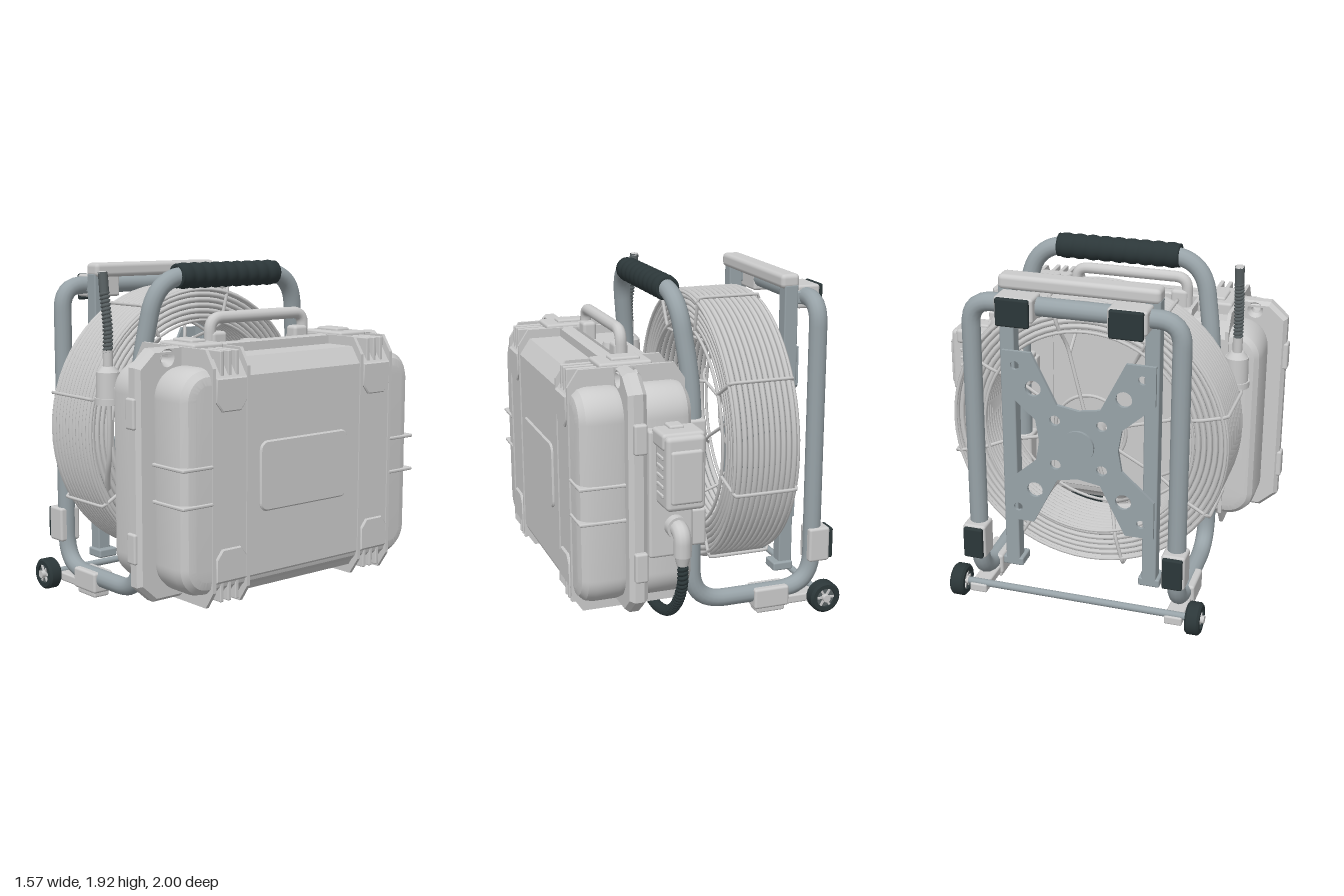
import * as THREE from 'three';
import { toCreasedNormals } from 'three/addons/utils/BufferGeometryUtils.js';
import { RoundedBoxGeometry } from 'three/addons/geometries/RoundedBoxGeometry.js';

const GREY = 0xcccccc, STEEL = 0x98a3a8, RUBBER = 0x2c3739, SPRING = 0x5a6264;
const CZ = 0.077; // shared centre of frame, reel and case in z
const mats = {};
const mat = (c) => (mats[c] ??= new THREE.MeshStandardMaterial({ color: c, side: THREE.DoubleSide }));
const V = (p) => new THREE.Vector3(p[0], p[1], p[2]);

export function createModel() {
  const root = new THREE.Group();
  let target = root;
  const group = (name) => { target = new THREE.Group(); target.name = name; root.add(target); };
  const add = (name, geo, color = GREY) => {
    const m = new THREE.Mesh(geo, mat(color));
    m.name = name;
    target.add(m);
    return m;
  };
  const box = (name, [x0, x1], [y0, y1], [z0, z1], r = 0.01, color = GREY) => {
    const m = add(name, new RoundedBoxGeometry(x1 - x0, y1 - y0, z1 - z0, 2, r), color);
    m.position.set((x0 + x1) / 2, (y0 + y1) / 2, (z0 + z1) / 2);
    return m;
  };
  const cyl = (name, r0, r1, h, pos, axis = 'y', color = GREY, sides = 24) => {
    const g = new THREE.CylinderGeometry(r1, r0, h, sides);
    if (axis === 'x') g.rotateZ(-Math.PI / 2);
    if (axis === 'z') g.rotateX(Math.PI / 2);
    const m = add(name, g, color);
    m.position.set(...pos);
    return m;
  };
  // straight runs with rounded corners; points are [x, y, z, cornerRadius]
  const bentTube = (name, pts, rad, color, segs, closed = false, sides = 12) => {
    const path = new THREE.CurvePath(), n = pts.length;
    let last = closed ? null : V(pts[0]), first;
    for (let i = closed ? 0 : 1; i < (closed ? n : n - 1); i++) {
      const p = V(pts[i]), r = pts[i][3];
      const toward = (q) => p.clone().add(V(q).sub(p).setLength(r));
      const a = toward(pts[(i + n - 1) % n]), b = toward(pts[(i + 1) % n]);
      if (last) path.add(new THREE.LineCurve3(last, a)); else first = a;
      path.add(new THREE.QuadraticBezierCurve3(a, p, b));
      last = b;
    }
    path.add(new THREE.LineCurve3(last, closed ? first : V(pts[n - 1])));
    path.arcLengthDivisions = 600;
    return add(name, new THREE.TubeGeometry(path, segs, rad, sides, closed), color);
  };
  const softTube = (name, pts, rad, color = GREY) =>
    add(name, new THREE.TubeGeometry(new THREE.CatmullRomCurve3(pts.map(V)), 40, rad, 10), color);
  // wire wound round a planar curve
  const coil = (name, pts, normal, turns, R, r, color) => {
    const base = new THREE.CatmullRomCurve3(pts.map(V)), n = V(normal), out = [], steps = turns * 10;
    for (let i = 0; i <= steps; i++) {
      const a = (i / 10) * Math.PI * 2, b = base.getTangentAt(i / steps).cross(n);
      out.push(base.getPointAt(i / steps).addScaledVector(n, R * Math.cos(a)).addScaledVector(b, R * Math.sin(a)));
    }
    add(name, new THREE.TubeGeometry(new THREE.CatmullRomCurve3(out), steps, r, 5), color);
    add(name + 'Core', new THREE.TubeGeometry(base, 50, R, 8), color);
  };
  const poly = (pts) => new THREE.Shape(pts.map(([a, b]) => new THREE.Vector2(a, b)));
  const roundRect = (z0, z1, y0, y1, r) => {
    const s = new THREE.Shape(), a = -z1, b = -z0;
    s.moveTo(a + r, y0).lineTo(b - r, y0).absarc(b - r, y0 + r, r, -Math.PI / 2, 0)
      .lineTo(b, y1 - r).absarc(b - r, y1 - r, r, 0, Math.PI / 2)
      .lineTo(a + r, y1).absarc(a + r, y1 - r, r, Math.PI / 2, Math.PI)
      .lineTo(a, y0 + r).absarc(a + r, y0 + r, r, Math.PI, Math.PI * 1.5);
    return s;
  };
  // shape drawn in (-z, y), extruded from x0 to x1; the bevel stays inside that span
  const alongX = (name, shape, x0, x1, bevel = 0, size = bevel, color = GREY, segs = 1) => {
    const g = new THREE.ExtrudeGeometry(shape, { depth: x1 - x0 - 2 * bevel, bevelEnabled: bevel > 0,
      bevelThickness: bevel, bevelSize: size, bevelOffset: -size, bevelSegments: segs, curveSegments: 8 });
    g.translate(0, 0, x0 + bevel).rotateY(Math.PI / 2);
    return add(name, toCreasedNormals(g, 0.5), color);
  };
  const SIDES = [0.64, -0.49];

  // tubular frame: one closed loop
  group('frame');
  const half = (z, zTop) => [[0.13, 1.86, zTop, 0.2], [0.07, 1.35, z, 0.2], [0.07, 0.13, z, 0.2],
    [-0.66, 0.13, z, 0.2], [-0.66, 1.78, z, 0.13]];
  bentTube('frameTube', [...half(0.64, 0.56), ...half(-0.49, -0.41).reverse()], 0.05, STEEL, 320, true, 14);
  const grip = [[0.05, -0.35], [0.066, -0.35]];
  for (let i = 0; i <= 54; i++) grip.push([0.064 + 0.007 * Math.abs(Math.sin(i * Math.PI / 6)), -0.34 + i * 0.68 / 54]);
  grip.push([0.066, 0.35], [0.05, 0.35]);
  const gripMesh = add('handGrip', new THREE.LatheGeometry(grip.map(([r, y]) => new THREE.Vector2(r, y)), 24), RUBBER);
  gripMesh.rotation.x = Math.PI / 2;
  gripMesh.position.set(0.13, 1.86, CZ);

  // clamps, feet and pads on the tubes
  for (const z of SIDES) {
    const zs = [z - 0.065, z + 0.065];
    box('legClamp', [-0.745, -0.62], [0.29, 0.49], zs, 0.015);
    box('legPad', [-0.77, -0.74], [0.3, 0.48], [z - 0.055, z + 0.055], 0.01, RUBBER);
    box('footClamp', [-0.5, -0.29], [0.05, 0.17], zs, 0.015);
    box('footPad', [-0.48, -0.31], [0.02, 0.06], [z - 0.05, z + 0.05], 0.01);
    box('wheelStrut', [-0.72, -0.45], [0.05, 0.1], [z - 0.05, z + 0.05], 0.01);
    for (const [y0, y1] of [[1.02, 1.2], [0.49, 0.7]]) {
      box('caseClamp', [0.01, 0.14], [y0, y1], zs, 0.015);
      box('caseBracket', [0.1, 0.18], [y0 + 0.03, y1 - 0.03], [z - 0.08, z + 0.08], 0.01);
    }
  }
  for (const z of [-0.225, 0.375]) {
    box('topClamp', [-0.745, -0.61], [1.71, 1.84], [z - 0.105, z + 0.105], 0.015);
    box('topPad', [-0.77, -0.74], [1.69, 1.84], [z - 0.09, z + 0.09], 0.01, RUBBER);
  }

  // wheels and axle
  group('wheels');
  cyl('axle', 0.02, 0.02, 1.36, [-0.69, 0.1, CZ], 'z', STEEL, 12);
  for (const [z, s] of [[0.755, 1], [-0.6, -1]]) {
    const tyre = [[0.055, -0.04], [0.078, -0.04], [0.09, -0.028], [0.09, 0.028], [0.078, 0.04], [0.055, 0.04], [0.055, -0.04]];
    const m = add('tyre', toCreasedNormals(new THREE.LatheGeometry(tyre.map((p) => new THREE.Vector2(...p)), 32), 0.6), RUBBER);
    m.rotation.x = Math.PI / 2;
    m.position.set(-0.69, 0.1, z);
    cyl('wheelDisc', 0.056, 0.056, 0.05, [-0.69, 0.1, z], 'z', SPRING);
    cyl('wheelHub', 0.022, 0.022, 0.1, [-0.69, 0.1, z + s * 0.005], 'z', GREY, 16);
    for (let i = 0; i < 6; i++) {
      const a = i * Math.PI / 3;
      const spoke = add('wheelSpoke', new THREE.BoxGeometry(0.045, 0.012, 0.065), GREY);
      spoke.position.set(-0.69 + 0.032 * Math.cos(a), 0.1 + 0.032 * Math.sin(a), z);
      spoke.rotation.z = a;
    }
  }

  // cable reel: wound turns inside a wire basket
  group('reel');
  const ring = (name, x, R, r, color = GREY) => {
    const m = add(name, new THREE.TorusGeometry(R, r, 6, 64), color);
    m.rotation.y = Math.PI / 2;
    m.position.set(x, 1, CZ);
  };
  for (let i = 0; i < 11; i++) for (let j = 0; j < 6; j++)
    if (i === 0 || i === 10 || j === 0 || j === 5) ring('cableTurn', -0.443 + i * 0.032, 0.612 + j * 0.0312, 0.0155);
  const core = [[0.612, -0.16], [0.765, -0.16], [0.765, 0.16], [0.612, 0.16], [0.612, -0.16]];
  const fill = add('cableCore', toCreasedNormals(new THREE.LatheGeometry(core.map((p) => new THREE.Vector2(...p)), 64), 0.5), SPRING);
  fill.rotation.z = -Math.PI / 2;
  fill.position.set(-0.283, 1, CZ);
  for (const x of [-0.467, -0.1]) { ring('rimWire', x, 0.765, 0.01); ring('innerWire', x, 0.59, 0.009); }
  ring('hubWire', -0.4, 0.2, 0.01);
  for (let i = 0; i < 8; i++) {
    const a = (15 + i * 45) * Math.PI / 180;
    const at = (x, R, r) => [x, 1 + R * Math.sin(a), CZ + R * Math.cos(a), r];
    bentTube('basketWire', [at(-0.42, 0.08), at(-0.4, 0.5, 0.06), at(-0.467, 0.62, 0.05), at(-0.467, 0.797, 0.02),
      at(-0.1, 0.797, 0.02), at(-0.1, 0.575, 0.02), at(-0.4, 0.45)], 0.01, GREY, 60, false, 6);
  }
  cyl('reelHub', 0.1, 0.1, 0.07, [-0.425, 1, CZ], 'x');
  cyl('reelAxle', 0.047, 0.047, 0.16, [-0.52, 1, CZ], 'x', STEEL);

  // rear mount: uprights, carrying bar and star-shaped plate
  group('reelMount');
  box('carryBar', [-0.61, -0.5], [1.83, 1.91], [-0.36, 0.51], 0.025);
  for (const z of [-0.32, 0.47]) {
    box('upright', [-0.6, -0.52], [0.2, 1.85], [z - 0.04, z + 0.04], 0.008, STEEL);
    box('uprightTie', [-0.66, -0.56], [1.74, 1.81], [z - 0.03, z + 0.03], 0.01, STEEL);
    box('uprightFoot', [-0.6, -0.48], [0.19, 0.24], [z - 0.06, z + 0.06], 0.01, STEEL);
  }
  const q = [[0, 0.2], [0.12, 0.22], [0.26, 0.5], [0.42, 0.5], [0.42, 0.28], [0.24, 0.12], [0.22, 0]];
  const right = [...q, ...q.slice(0, -1).reverse().map(([a, b]) => [a, -b])];
  const star = poly([...right, ...right.slice(1, -1).reverse().map(([a, b]) => [-a, b])]);
  for (const sx of [-1, 1]) for (const sy of [-1, 1])
    for (const [a, b, r] of [[0.35, 0.42, 0.025], [0.25, 0.3, 0.045], [0.13, 0.13, 0.03]])
      star.holes.push(new THREE.Path().absarc(sx * a, sy * b, r, 0, Math.PI * 2, true));
  alongX('starPlate', star, -0.618, -0.598, 0, 0, STEEL).position.set(0, 1, CZ);
  cyl('plateBoss', 0.09, 0.09, 0.05, [-0.61, 1, CZ], 'x', STEEL);

  // hard case: two bevelled shells around a flange
  group('case');
  alongX('caseBase', roundRect(-0.745, 0.89, 0.28, 1.44, 0.16), 0.15, 0.46, 0.07, 0.07, GREY, 3);
  alongX('caseLid', roundRect(-0.745, 0.89, 0.28, 1.44, 0.16), 0.48, 0.77, 0.08, 0.08, GREY, 3);
  const [fl, fr] = [-0.985, 0.815];
  const flange = poly([[fl + 0.1, 0.23], [fr - 0.1, 0.23], [fr, 0.32], [fr, 1.44], [fr - 0.1, 1.53],
    [fl + 0.1, 1.53], [fl, 1.44], [fl, 0.32]]);
  for (const u of [-0.8, 0.63]) flange.holes.push(new THREE.Path().absarc(u, 1.48, 0.026, 0, Math.PI * 2, true));
  alongX('flange', flange, 0.43, 0.53, 0.025, 0.02);
  // chamfered cross-section, swept in z
  const slab = (name, z0, z1, o) => {
    const x0 = 0.15 - o * 0.15, x1 = 0.77 + o * 0.15, y0 = 0.27 - o, y1 = 1.47 + o;
    const s = poly([[x0, y0 + 0.09], [x0 + 0.06, y0], [x1 - 0.06, y0], [x1, y0 + 0.09],
      [x1, y1 - 0.09], [x1 - 0.06, y1], [x0 + 0.06, y1], [x0, y1 - 0.09]]);
    add(name, new THREE.ExtrudeGeometry(s, { depth: z1 - z0, bevelEnabled: false }).translate(0, 0, z0));
  };
  slab('caseMiddle', -0.56, 0.7, 0.01);
  for (const z of [-0.56, -0.335, 0.475, 0.7]) slab('caseRib', z - 0.01, z + 0.01, 0.06);
  alongX('facePanel', roundRect(-0.235, 0.395, 0.675, 1.045, 0.05), 0.76, 0.782, 0.008);

  // latches with their cover plates and fins
  for (const z of [-0.447, 0.588]) {
    box('latch', [0.31, 0.6], [1.46, 1.545], [z - 0.1, z + 0.1], 0.015);
    box('latchTab', [0.36, 0.52], [1.5, 1.56], [z - 0.05, z + 0.05], 0.012);
    box('hingeBlock', [0.38, 0.62], [0.235, 0.32], [z - 0.1, z + 0.1], 0.015);
    for (const s of [1, -1]) {
      const yy = (d) => 0.87 + s * (0.52 - d);
      const pts = [[-0.1, yy(0)], [0.1, yy(0)], [0.1, yy(0.12)], [0.06, yy(0.17)], [-0.06, yy(0.17)], [-0.1, yy(0.12)]];
      alongX('coverPlate', poly(pts.map(([a, b]) => [a - z, b])), 0.75, 0.785, 0.006);
      for (const d of [-0.05, 0, 0.05]) {
        const ys = s > 0 ? [1.38, 1.525] : [0.24, 0.36];
        box('latchFin', [0.6, 0.765], ys, [z + d - 0.012, z + d + 0.012], 0.006);
      }
    }
  }
  // end ribs, side catches, carry handle, valve
  for (const [z0, z1, tip] of [[0.7, 0.9, 0.985], [-0.755, -0.56, -0.815]]) {
    for (const y of [0.76, 0.95]) box('endRib', [0.5, 0.78], [y - 0.009, y + 0.009], [z0, z1], 0.007);
    for (const y of [0.52, 1.21]) box('sideCatch', [0.44, 0.51], [y - 0.08, y + 0.08], [tip - 0.03, tip + 0.015], 0.012);
  }
  bentTube('caseHandle', [[0.39, 1.46, 0.41], [0.39, 1.65, 0.41, 0.07], [0.39, 1.65, -0.255, 0.07], [0.39, 1.46, -0.255]],
    0.032, GREY, 60);
  for (const z of [0.37, -0.215]) box('handlePivot', [0.35, 0.43], [1.46, 1.58], [z - 0.05, z + 0.05], 0.02);
  box('seamRail', [0.43, 0.52], [1.44, 1.51], [-0.32, 0.47], 0.012);
  cyl('valve', 0.065, 0.055, 0.05, [0.33, 1.49, CZ], 'y', GREY, 16);

  // battery pack and power socket on the rear end of the case
  group('power');
  box('mountPlate', [0.18, 0.42], [0.55, 1.24], [-0.8, -0.72], 0.015);
  box('battery', [0.18, 0.39], [0.86, 1.25], [-0.985, -0.8], 0.025);
  box('batteryCover', [0.2, 0.37], [0.9, 1.18], [-1.0, -0.95], 0.015);
  box('batteryCap', [0.17, 0.4], [1.17, 1.26], [-0.95, -0.77], 0.02);
  box('batteryClip', [0.25, 0.33], [1.22, 1.275], [-0.86, -0.77], 0.012);
  for (let i = 0; i < 5; i++) box('batteryRib', [0.172, 0.398], [0.92 + i * 0.05, 0.94 + i * 0.05], [-0.93, -0.84], 0.006);
  cyl('socket', 0.06, 0.06, 0.06, [0.28, 0.72, -0.82], 'z');
  bentTube('elbowPlug', [[0.28, 0.72, -0.8], [0.28, 0.72, -0.91, 0.06], [0.28, 0.59, -0.91]], 0.047, GREY, 24);
  cyl('plugCollar', 0.03, 0.045, 0.06, [0.28, 0.57, -0.91]);
  coil('powerCable', [[0.28, 0.54, -0.915], [0.28, 0.44, -0.91], [0.28, 0.31, -0.84], [0.28, 0.2, -0.7], [0.28, 0.15, -0.5],
    [0.28, 0.18, -0.3], [0.28, 0.21, -0.18], [0.28, 0.195, -0.06]], [1, 0, 0], 46, 0.02, 0.012, RUBBER);
  cyl('cableEnd', 0.038, 0.03, 0.1, [0.3, 0.195, -0.01], 'z');
  box('lowerSocket', [0.26, 0.37], [0.16, 0.29], [-0.02, 0.13], 0.02);

  // camera head holder with a flexible spring neck
  group('probe');
  cyl('holderRim', 0.074, 0.074, 0.035, [0, 1.205, 0.79]);
  cyl('holderCup', 0.066, 0.064, 0.16, [0, 1.28, 0.79]);
  cyl('holderTop', 0.06, 0.035, 0.03, [0, 1.375, 0.79]);
  box('holderArm', [0.05, 0.2], [1.21, 1.29], [0.72, 0.8], 0.015);
  cyl('neckCollar', 0.026, 0.028, 0.09, [0, 1.43, 0.79]);
  coil('springNeck', [[0, 1.46, 0.79], [0.003, 1.58, 0.79], [-0.012, 1.7, 0.79], [-0.026, 1.79, 0.79]], [0, 0, 1], 16, 0.02, 0.009, SPRING);
  softTube('probeTip', [[-0.024, 1.77, 0.79], [-0.03, 1.83, 0.79], [-0.037, 1.885, 0.79]], 0.026, SPRING);
  cyl('probeLens', 0.026, 0.02, 0.012, [-0.037, 1.885, 0.79]);
  softTube('feedCable', [[0.005, 1.2, 0.79], [0, 1.05, 0.785], [-0.03, 0.88, 0.77], [-0.09, 0.76, 0.74], [-0.14, 0.66, 0.7]], 0.015);
  return root;
}
